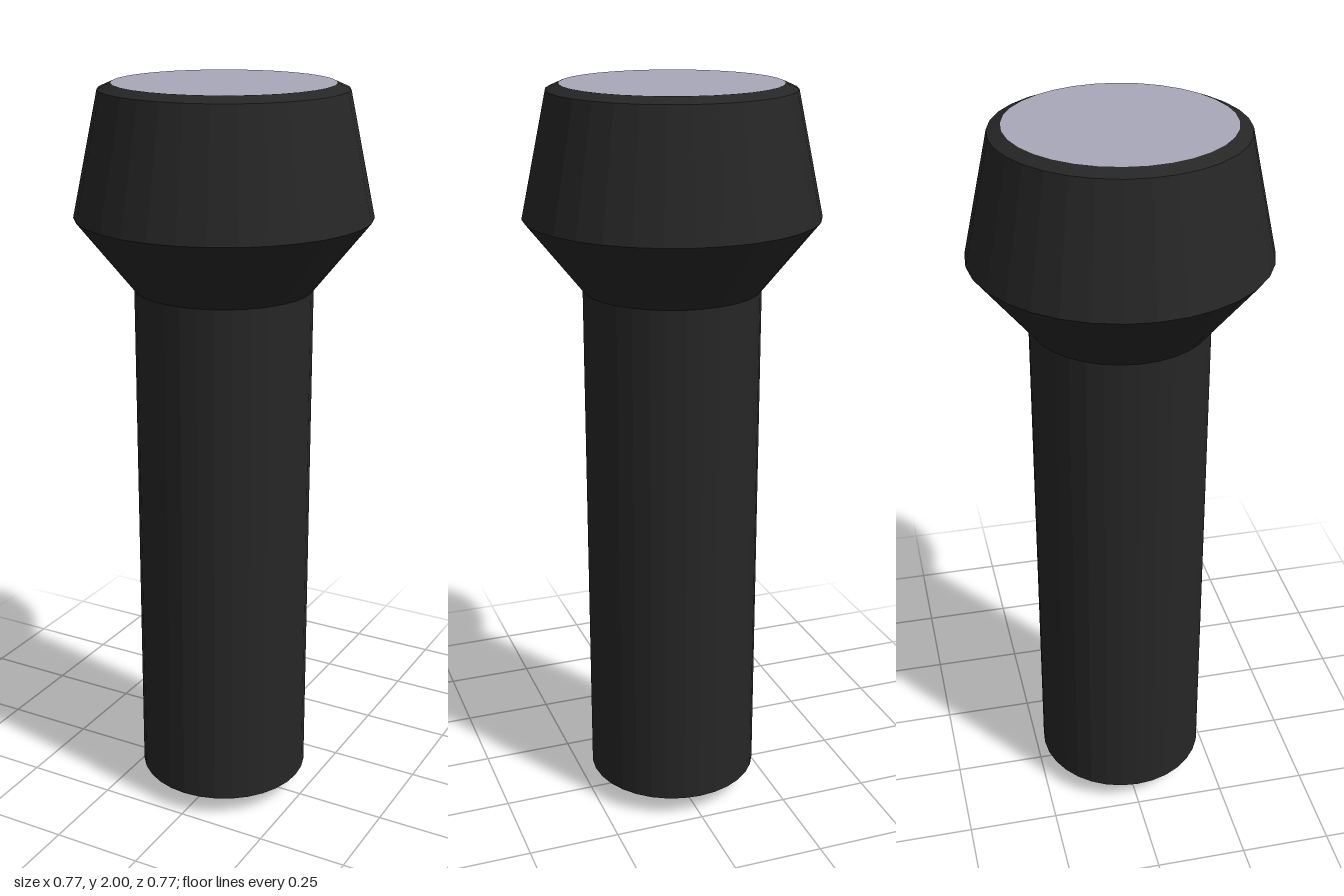
import * as THREE from 'three';

const SIDES = 32;

export function createModel() {
  const group = new THREE.Group();
  group.name = 'flashlight';

  const casing = new THREE.MeshStandardMaterial({ color: 0x262626, flatShading: true });
  casing.name = 'black casing';
  const glass = new THREE.MeshStandardMaterial({ color: 0xa8a8b9 });
  glass.name = 'pale lens';

  // Turned part from [radius, height] points, listed from bottom to top
  const turned = (name, points) => {
    const profile = points.map(([r, y]) => new THREE.Vector2(r, y));
    const mesh = new THREE.Mesh(new THREE.LatheGeometry(profile, SIDES), casing);
    mesh.name = name;
    group.add(mesh);
  };

  // Tail cap with its bevel, then the straight handle
  turned('tailCap', [[0, 0], [0.13, 0], [0.235, 0.06]]);
  turned('handle', [[0.235, 0.06], [0.235, 1.475]]);

  // Flared head and bevelled rim around the lens
  turned('head', [[0.235, 1.475], [0.387, 1.665], [0.318, 1.985]]);
  turned('rim', [[0.318, 1.985], [0.284, 2]]);

  // Flat lens closing the top
  const lens = new THREE.Mesh(new THREE.CircleGeometry(0.284, SIDES), glass);
  lens.name = 'lens';
  lens.rotation.x = -Math.PI / 2;
  lens.position.y = 2;
  group.add(lens);

  return group;
}
